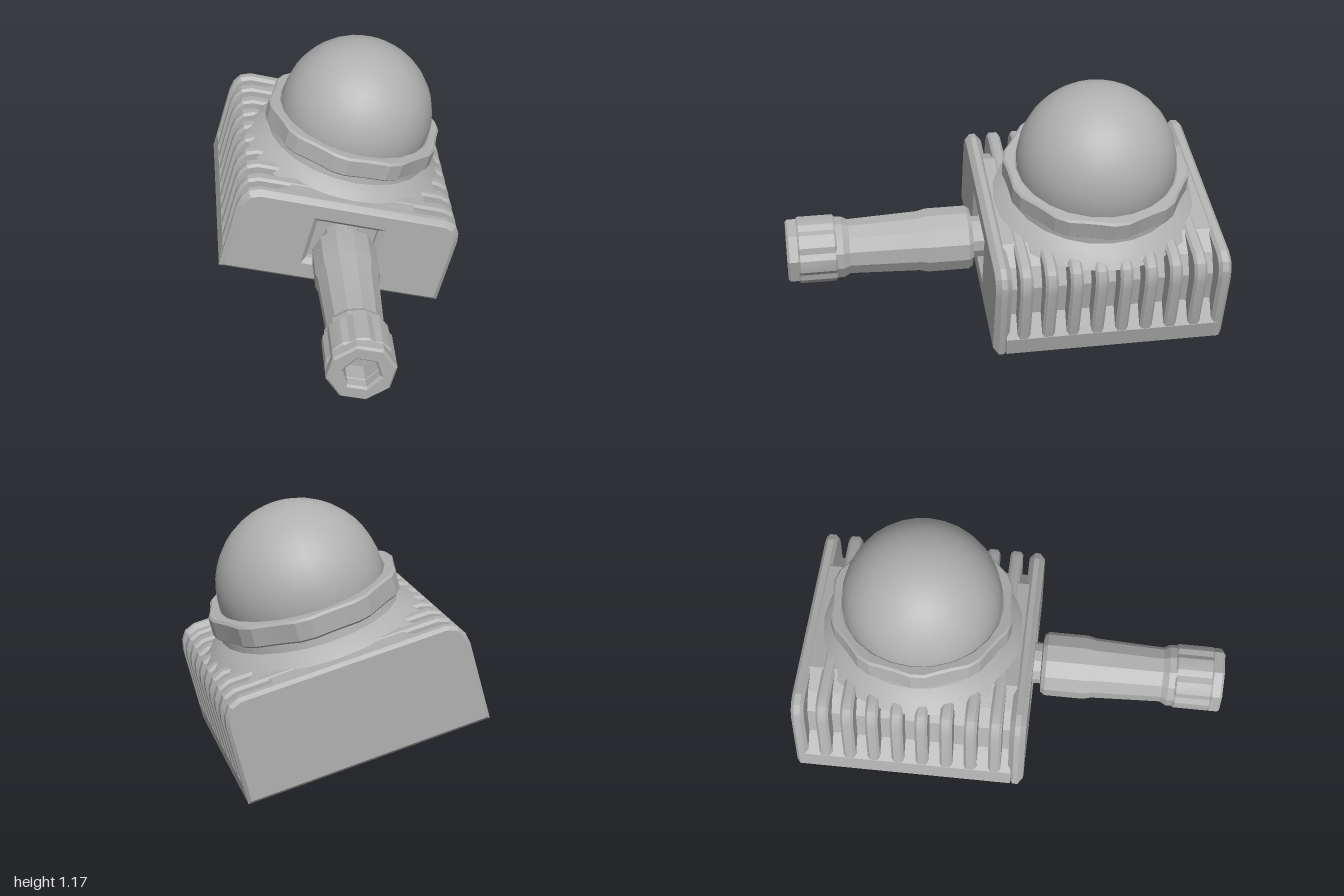
import * as THREE from 'three';
import { toCreasedNormals } from 'three/addons/utils/BufferGeometryUtils.js';

const TILT = -0.266;      // the whole unit leans to one side
const DOME_Z = -0.45;     // dome and collar centre
const BARREL_V = 0.24;    // barrel axis height above the base

export function createModel() {
  const grey = new THREE.MeshStandardMaterial({ color: 0xb0b0b0 });
  grey.name = 'grey';

  const model = new THREE.Group();
  model.name = 'domeLamp';
  const body = new THREE.Group();
  body.name = 'tiltedBody';
  body.position.set(-0.05, 0.145, 0);
  body.rotation.z = TILT;
  model.add(body);

  const add = (name, geometry, crease = 0.5) => {
    const mesh = new THREE.Mesh(toCreasedNormals(geometry, crease), grey);
    mesh.name = name;
    body.add(mesh);
    return mesh;
  };

  // Symmetric outline from the points of its right half, bottom to top
  const mirrored = (half) => new THREE.Shape([
    ...half.map(([x, y]) => new THREE.Vector2(x, y)),
    ...half.slice().reverse().map(([x, y]) => new THREE.Vector2(-x, y)),
  ]);

  // Regular or notched polygon, radius given per corner
  const ringPoints = (n, radius, turn = 0) => Array.from({ length: n }, (_, i) => {
    const a = (i / n) * Math.PI * 2 + turn;
    return new THREE.Vector2(Math.cos(a) * radius(i), Math.sin(a) * radius(i));
  });

  // Extrude between two z values; the bevel stays inside the outline
  const slab = (shape, z0, z1, bevel = 0) => new THREE.ExtrudeGeometry(shape, {
    depth: z1 - z0 - 2 * bevel, bevelEnabled: bevel > 0, bevelSegments: 1,
    bevelThickness: bevel, bevelSize: bevel, bevelOffset: -bevel, curveSegments: 6,
  }).translate(0, 0, z0 + bevel);

  const lathe = (pts, n) =>
    new THREE.LatheGeometry(pts.map(([r, y]) => new THREE.Vector2(r, y)), n);

  const outer = [[0.55, 0], [0.545, 0.36], [0.535, 0.41], [0.51, 0.45], [0.46, 0.47]];
  const inner = [[0.55, 0], [0.55, 0.09], [0.47, 0.18], [0.46, 0.33], [0.40, 0.41], [0.30, 0.465]];

  // Housing core with sloped slot floors
  add('housingCore', slab(mirrored(inner), -0.965, 0.03), 0.3);

  // Cooling fins wrapping the sides and shoulders
  for (let i = 1; i <= 8; i++) {
    const z = -0.97 + 0.115 * i;
    add('coolingFin', slab(mirrored(outer), z - 0.03, z + 0.03, 0.012), 0.4);
  }

  // Front plate with a chamfered pocket for the barrel, and a plain back plate
  const front = mirrored(outer);
  front.holes.push(new THREE.Path([
    [-0.15, BARREL_V - 0.11], [-0.15, BARREL_V + 0.11],
    [0.15, BARREL_V + 0.11], [0.15, BARREL_V - 0.11],
  ].map(([x, y]) => new THREE.Vector2(x, y))));
  add('frontPlate', slab(front, 0.015, 0.09, 0.025), 0.3);
  add('backPlate', slab(mirrored(outer), -1, -0.94, 0.015), 0.3);

  // Flared neck rising to the collar
  add('neck', lathe([[0.5, 0.44], [0.45, 0.49], [0.405, 0.52], [0.395, 0.58]], 24), 0.3)
    .position.z = DOME_Z;

  // Notched collar around the dome
  const collar = new THREE.Shape(ringPoints(40, (i) => (i % 4 < 2 ? 0.434 : 0.42)));
  collar.holes.push(new THREE.Path(ringPoints(24, () => 0.372).reverse()));
  add('collar', slab(collar, 0.56, 0.662, 0.01).rotateX(-Math.PI / 2), 0.3)
    .position.z = DOME_Z;

  // Dome
  const dome = add('dome', new THREE.SphereGeometry(0.374, 28, 14, 0, Math.PI * 2, 0, 1.95), 0.8);
  dome.position.set(0, 0.673, DOME_Z);

  // Barrel, waisted towards the nozzle
  add('barrel', lathe([
    [0.1, 0.02], [0.1, 0.125], [0.14, 0.13], [0.155, 0.15], [0.155, 0.34],
    [0.145, 0.38], [0.132, 0.71], [0.148, 0.74], [0.148, 0.78], [0.13, 0.86], [0, 0.86],
  ], 12).rotateX(Math.PI / 2), 0.3).position.y = BARREL_V;

  // Ribbed grip and end cap, both with a hexagonal socket
  const hexHole = () => new THREE.Path(ringPoints(6, () => 0.085).reverse());
  const grip = new THREE.Shape(ringPoints(32, (i) => (i % 4 < 3 ? 0.157 : 0.146)));
  grip.holes.push(hexHole());
  add('nozzleGrip', slab(grip, 0.77, 0.95, 0.008), 0.3).position.y = BARREL_V;
  const cap = new THREE.Shape(ringPoints(8, () => 0.157, Math.PI / 8));
  cap.holes.push(hexHole());
  add('nozzleCap', slab(cap, 0.94, 1, 0.01), 0.3).position.y = BARREL_V;

  // Small stud inside the socket
  add('socketStud', new THREE.CylinderGeometry(0.025, 0.045, 0.06, 4)
    .rotateX(Math.PI / 2).translate(0, 0, 0.88), 0.3).position.y = BARREL_V;

  return model;
}
